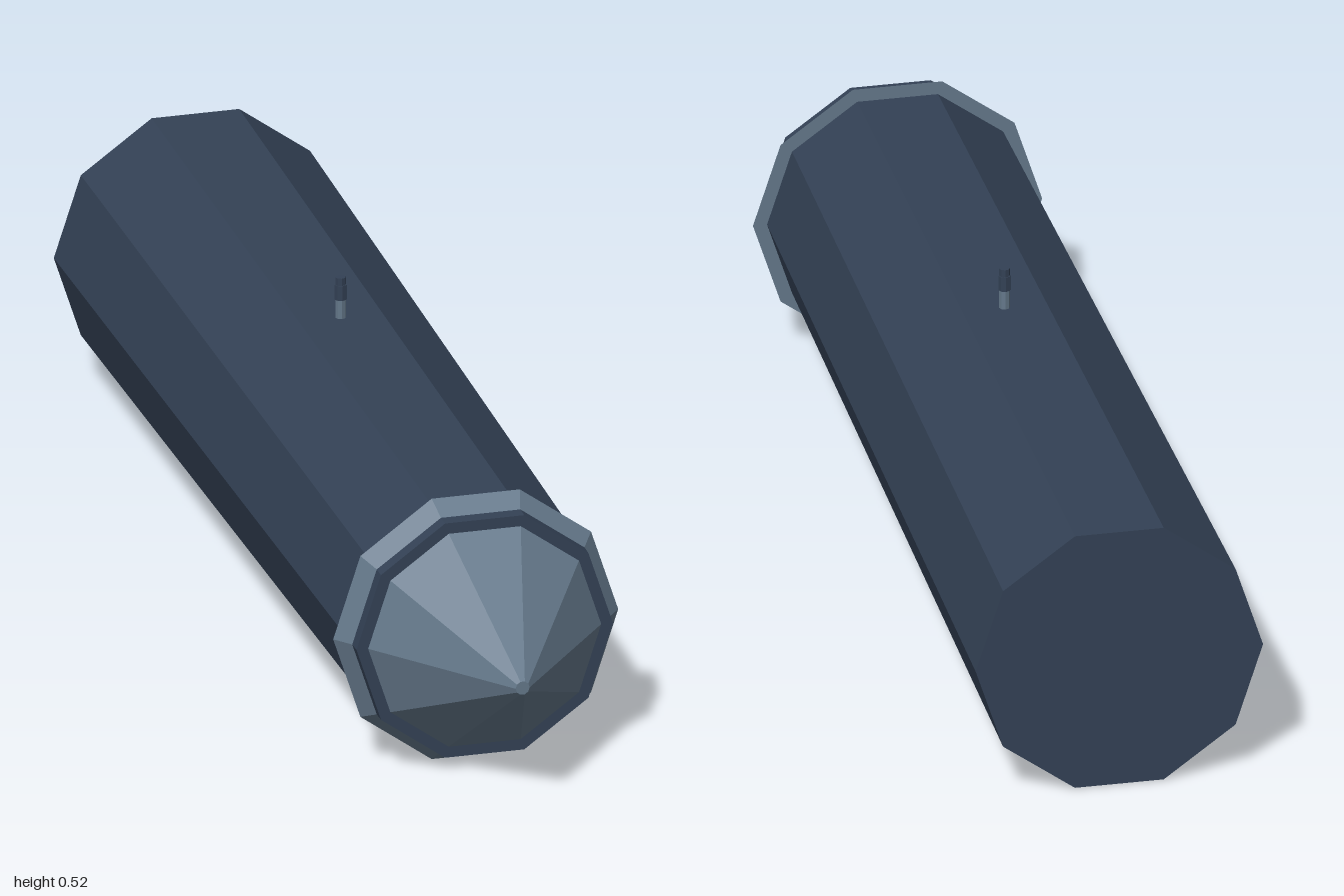
import * as THREE from 'three';

const CENTRE_Y = 0.232;

function material(name, color) {
  const m = new THREE.MeshStandardMaterial({ color, flatShading: true });
  m.name = name;
  return m;
}

// Ten-sided frustum lying along z, flats at top and bottom
function frustum(name, zBack, rBack, zFront, rFront, mat) {
  const g = new THREE.CylinderGeometry(rFront, rBack, zFront - zBack, 10, 1, false, Math.PI / 10);
  g.rotateX(Math.PI / 2);
  const mesh = new THREE.Mesh(g, mat);
  mesh.name = name;
  mesh.position.set(0, CENTRE_Y, (zBack + zFront) / 2);
  return mesh;
}

// Upright cylinder between two heights
function post(name, y0, y1, r, sides, mat) {
  const mesh = new THREE.Mesh(new THREE.CylinderGeometry(r, r, y1 - y0, sides), mat);
  mesh.name = name;
  mesh.position.y = (y0 + y1) / 2;
  return mesh;
}

export function createModel() {
  const dark = material('dark slate', 0x334155);
  const light = material('light slate', 0x64788a);

  const model = new THREE.Group();
  model.name = 'projectile';

  // Tapered body, and a nose cone whose wide rim flares out past it
  model.add(frustum('body', -1, 0.242, 0.768, 0.219, dark));
  model.add(frustum('noseCone', 0.713, 0.2435, 1, 0.012, light));

  // Small stud on top of the body
  const stud = new THREE.Group();
  stud.name = 'stud';
  stud.position.z = -0.113;
  stud.add(post('studStem', 0.44, 0.486, 0.009, 8, light));
  stud.add(post('studCollar', 0.484, 0.51, 0.0105, 8, dark));
  stud.add(post('studTip', 0.508, 0.523, 0.009, 8, dark));
  model.add(stud);

  return model;
}
